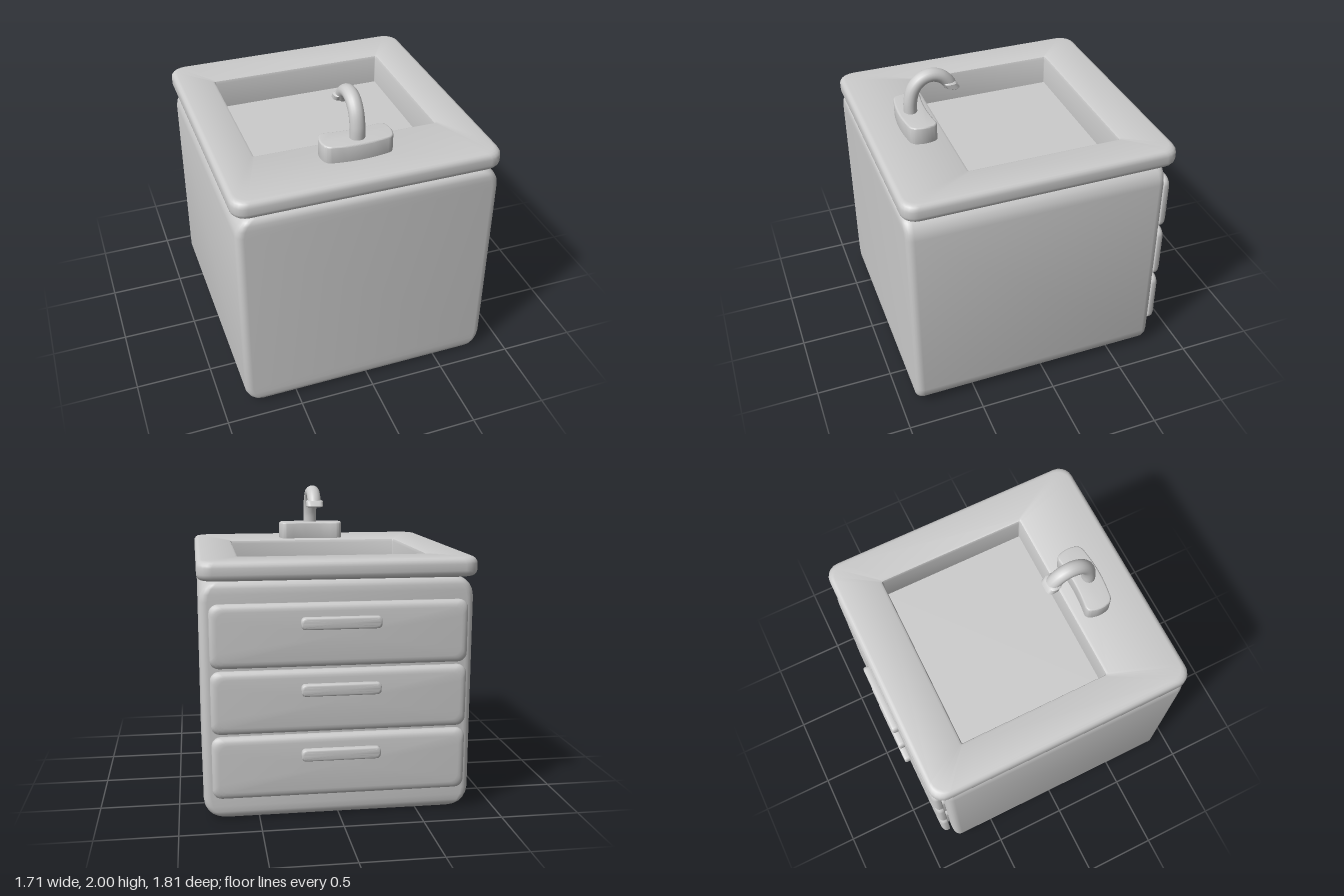
import * as THREE from 'three';
import { toCreasedNormals } from 'three/addons/utils/BufferGeometryUtils.js';

const material = new THREE.MeshStandardMaterial({ color: 0xcccccc });

function mesh(name, geometry, parent) {
  const m = new THREE.Mesh(geometry, material);
  m.name = name;
  parent.add(m);
  return m;
}

// Skin over rounded-rectangle rings, each { y, hx, hz, cz, r }
function loft(rings, seg = 5) {
  const pos = [], index = [], n = 4 * (seg + 1);
  for (const { y, hx, hz, cz = 0, r = 0 } of rings) {
    const rad = Math.min(r, hx, hz);
    for (let q = 0; q < 4; q++) {
      const sx = q === 0 || q === 3 ? 1 : -1, sz = q < 2 ? 1 : -1;
      for (let k = 0; k <= seg; k++) {
        const a = (q + k / seg) * Math.PI / 2;
        pos.push(sx * (hx - rad) + rad * Math.cos(a), y, cz + sz * (hz - rad) + rad * Math.sin(a));
      }
    }
  }
  for (let i = 0; i < rings.length - 1; i++) {
    for (let j = 0; j < n; j++) {
      const a = i * n + j, d = i * n + (j + 1) % n;
      index.push(a, a + n, d + n, a, d + n, d);
    }
  }
  const g = new THREE.BufferGeometry();
  g.setAttribute('position', new THREE.Float32BufferAttribute(pos, 3));
  g.setIndex(index);
  return toCreasedNormals(g, 0.65);
}

// Inset of a rounded edge of radius r at distance d from the end
const inset = (r, d) => (d >= r ? 0 : r - Math.sqrt(r * r - (r - d) ** 2));

// Slab with separately chosen bottom and top edge rounding (inset w, height h)
function slabRings(hx, hz, cz, y0, y1, r, bottom, top, steps = 4) {
  const rings = [];
  for (let i = 0; i <= steps; i++) {
    const a = i / steps * Math.PI / 2, s = bottom.w * (1 - Math.sin(a));
    rings.push({ y: y0 + bottom.h * (1 - Math.cos(a)), hx: hx - s, hz: hz - s, cz, r });
  }
  for (let i = 0; i <= steps; i++) {
    const a = i / steps * Math.PI / 2, s = top.w * (1 - Math.cos(a));
    rings.push({ y: y1 - top.h * (1 - Math.sin(a)), hx: hx - s, hz: hz - s, cz, r });
  }
  return rings;
}

const point = (y, cz = 0) => ({ y, hx: 0, hz: 0, cz });

export function createModel() {
  const model = new THREE.Group();
  model.name = 'sinkCabinet';

  // Cabinet: wide rounding seen from the front, tight rounding from the side
  const H = 1.5, bodyZ = 0.0525;
  const hole = { hx: 0.593, hz: 0.493, cz: -0.067, r: 0.006 };
  const levels = [0, 0.004, 0.015, 0.03, 0.05, 0.085, 0.13];
  const bodyRing = (y, d) => ({
    y, hx: 0.845 - inset(0.13, d), hz: 0.8425 - inset(0.05, d), cz: bodyZ, r: 0.05,
  });
  mesh('cabinet', loft([
    point(0, bodyZ),
    ...levels.map((d) => bodyRing(d, d)),
    ...[...levels].reverse().map((d) => bodyRing(H - d, d)),
    { ...hole, y: H },
  ]), model);

  // Countertop with the sunken basin
  const edge = { w: 0.035, h: 0.04 };
  mesh('countertopBasin', loft([
    { ...hole, y: 1.5 },
    ...slabRings(0.855, 0.884, 0.021, 1.5, 1.62, 0.09, edge, edge),
    { ...hole, hx: hole.hx + 0.02, hz: hole.hz + 0.02, y: 1.615, r: 0.02 },
    { ...hole, hx: hole.hx + 0.006, hz: hole.hz + 0.006, y: 1.608, r: 0.01 },
    { ...hole, y: 1.59 },
    { ...hole, y: 1.405 },
    point(1.405, hole.cz),
  ]), model);

  // Three drawers on the back, built lying flat and turned to face -z
  const sharp = { w: 0.008, h: 0.006 };
  const slab = (hx, hy, y0, y1, r, bottom, top) => loft([
    point(y0), ...slabRings(hx, hy, 0, y0, y1, r, bottom, top), point(y1),
  ]);
  for (let i = 0; i < 3; i++) {
    const drawer = new THREE.Group();
    drawer.name = 'drawer' + (i + 1);
    drawer.position.set(0, 0.35 + i * 0.409, 0);
    drawer.rotation.x = -Math.PI / 2;
    mesh('drawerBacking', slab(0.74, 0.15, 0.77, 0.815, 0.03, sharp, sharp), drawer);
    mesh('drawerFront', slab(0.79, 0.195, 0.81, 0.865, 0.055, sharp, { w: 0.045, h: 0.032 }), drawer);
    const handle = mesh('drawerHandle',
      slab(0.245, 0.037, 0.855, 0.905, 0.025, sharp, { w: 0.014, h: 0.014 }), drawer);
    handle.position.z = 0.077;
    model.add(drawer);
  }

  // Faucet
  const faucet = new THREE.Group();
  faucet.name = 'faucet';
  model.add(faucet);

  // Bowed base block
  const s = new THREE.Shape();
  s.moveTo(-0.18, 0.505);
  s.quadraticCurveTo(0, 0.535, 0.18, 0.505);
  s.quadraticCurveTo(0.205, 0.505, 0.21, 0.525);
  s.quadraticCurveTo(0.232, 0.585, 0.21, 0.64);
  s.quadraticCurveTo(0.2, 0.66, 0.17, 0.664);
  s.quadraticCurveTo(0, 0.695, -0.17, 0.664);
  s.quadraticCurveTo(-0.2, 0.66, -0.21, 0.64);
  s.quadraticCurveTo(-0.232, 0.585, -0.21, 0.525);
  s.quadraticCurveTo(-0.205, 0.505, -0.18, 0.505);
  const base = new THREE.ExtrudeGeometry(s, {
    depth: 0.11, bevelSize: 0.01, bevelThickness: 0.01, bevelSegments: 3, curveSegments: 8,
  });
  base.rotateX(Math.PI / 2);
  base.translate(0, 1.72, 0);
  mesh('faucetBase', toCreasedNormals(base, 0.65), faucet);

  // Curved spout
  const path = new THREE.CatmullRomCurve3([
    [1.7, 0.61], [1.8, 0.606], [1.885, 0.58], [1.938, 0.53], [1.957, 0.465],
    [1.94, 0.405], [1.905, 0.365], [1.875, 0.345],
  ].map(([y, z]) => new THREE.Vector3(0, y, z)));
  const spout = new THREE.TubeGeometry(path, 32, 0.043, 16, false);
  spout.scale(1.12, 1, 1);
  mesh('spout', spout, faucet);

  // Slanted nozzle at the end of the spout
  const nozzle = (y, cz, grow = 0) => ({ y, cz, hx: 0.06 + grow, hz: 0.042 + grow, r: 0.032 });
  mesh('nozzle', loft([
    point(1.853, 0.328), nozzle(1.853, 0.328, -0.008), nozzle(1.86, 0.332),
    nozzle(1.893, 0.351), nozzle(1.9, 0.355, -0.008), point(1.9, 0.355),
  ]), faucet);

  return model;
}
